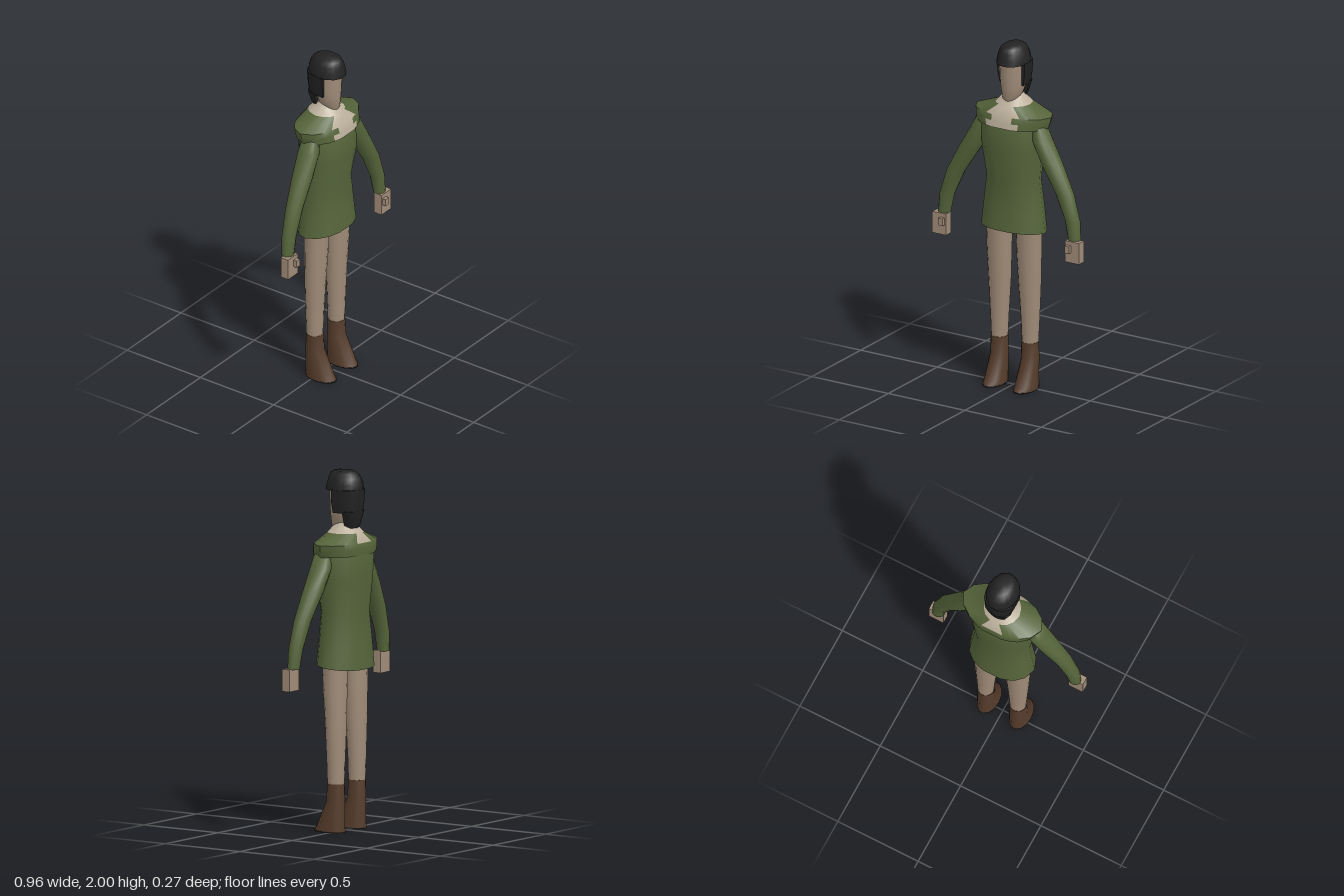
import * as THREE from 'three';
import { toCreasedNormals } from 'three/addons/utils/BufferGeometryUtils.js';

const mat = (name, color, side = THREE.FrontSide) => {
  const m = new THREE.MeshStandardMaterial({ color, side });
  m.name = name;
  return m;
};

// Unit cross-sections, running from +x towards +z
const round = Array.from({ length: 14 }, (_, i) => {
  const a = (i / 14) * Math.PI * 2;
  return [Math.cos(a), Math.sin(a)];
});
const quarter = [[1, 0], [0.87, 0.5], [0.65, 0.8], [0.45, 0.92], [0.27, 1]];
const front = [...quarter, ...quarter.slice().reverse().map(([x, z]) => [-x, z])];
const torso = [...front, ...front.slice(1, -1).reverse().map(([x, z]) => [x, -z])];
const halfShell = [[1, 0.2], [1, 1], [-1, 1], [-1, 0.2], [-0.88, -0.45], [-0.6, -0.82],
  [-0.22, -1], [0.22, -1], [0.6, -0.82], [0.88, -0.45]];

// Skin through rings [y, centreX, radiusX, zBack, zFront, tilt], lowest first
function loft(rings, section, { caps = true, pick = () => 0, crease = 0.8 } = {}) {
  const n = section.length, pos = [], lists = [[], []];
  for (const [y, cx, rx, zb, zf, tilt = 0] of rings)
    for (const [u, v] of section) {
      const z = (zb + zf) / 2 + (v * (zf - zb)) / 2;
      pos.push(cx + u * rx, y + tilt * z, z);
    }
  for (let i = 0; i < rings.length - 1; i++)
    for (let j = 0; j < n; j++) {
      const a = i * n + j, b = i * n + ((j + 1) % n);
      lists[pick(i, j)].push(a, a + n, b, b, a + n, b + n);
    }
  if (caps)
    for (const i of [0, rings.length - 1]) {
      const [y, cx, , zb, zf, tilt = 0] = rings[i], z = (zb + zf) / 2, c = pos.length / 3;
      pos.push(cx, y + tilt * z, z);
      for (let j = 0; j < n; j++) {
        const a = i * n + j, b = i * n + ((j + 1) % n);
        lists[0].push(c, ...(i ? [b, a] : [a, b]));
      }
    }
  const g = new THREE.BufferGeometry();
  g.setAttribute('position', new THREE.Float32BufferAttribute(pos, 3));
  g.setIndex([...lists[0], ...lists[1]]);
  g.addGroup(0, lists[0].length, 0);
  if (lists[1].length) g.addGroup(lists[0].length, lists[1].length, 1);
  return toCreasedNormals(g, crease);
}

export function createModel() {
  const model = new THREE.Group();
  const green = mat('greenCloth', 0x55643a);
  const capeGreen = mat('greenCapeCloth', 0x55643a, THREE.DoubleSide);
  const pale = mat('paleCollar', 0xbcb09c, THREE.DoubleSide);
  const skin = mat('skin', 0xa08c78);
  const hair = mat('blackHair', 0x222222);
  const leather = mat('brownLeather', 0x553c2b);
  const soleDark = mat('darkSole', 0x262220);

  const add = (name, geometry, material, parent = model) => {
    const mesh = new THREE.Mesh(geometry, material);
    mesh.name = name;
    parent.add(mesh);
    return mesh;
  };

  // Tunic, with the hem lower at the back
  add('tunic', loft([
    [0.92, 0, 0.2, -0.135, 0.127, 0.12],
    [1.04, 0, 0.188, -0.125, 0.117],
    [1.22, 0, 0.166, -0.112, 0.105],
    [1.4, 0, 0.188, -0.13, 0.138],
    [1.53, 0, 0.2, -0.131, 0.125],
    [1.6, 0, 0.19, -0.118, 0.105],
  ], torso), [green]);

  // Shoulder cape: pale chest panel, back patch and collar
  const capePick = (i, j) => {
    const f = Math.abs(j - 4), b = Math.abs(j - 13);
    if (i === 3) return 1;
    if (i === 0) return f <= 1 ? 1 : 0;
    if (i === 1) return f === 0 ? 1 : 0;
    return f <= 1 || b === 0 ? 1 : 0;
  };
  add('shoulderCape', loft([
    [1.54, 0, 0.224, -0.134, 0.138],
    [1.575, 0, 0.236, -0.136, 0.132],
    [1.608, 0, 0.243, -0.132, 0.122],
    [1.66, 0, 0.105, -0.1, 0.09],
    [1.715, 0, 0.052, -0.05, 0.04],
  ], torso, { caps: false, pick: capePick }), [capeGreen, pale]);

  // Head and neck
  add('neck', loft([[1.6, 0, 0.05, -0.055, 0.04], [1.78, 0, 0.047, -0.055, 0.04]], round), [skin]);
  add('face', loft([
    [1.67, 0, 0.03, -0.01, 0.068],
    [1.69, 0, 0.048, -0.035, 0.077],
    [1.76, 0, 0.068, -0.07, 0.083],
    [1.83, 0, 0.076, -0.085, 0.086],
    [1.92, 0, 0.078, -0.09, 0.088],
  ], round), [skin]);

  // Hair: crown with fringe, side locks and nape
  add('hairCrown', loft([
    [1.895, 0, 0.091, -0.112, 0.113],
    [1.925, 0, 0.088, -0.111, 0.107],
    [1.96, 0, 0.078, -0.1, 0.098],
    [1.985, 0, 0.064, -0.083, 0.088],
    [2.0, 0, 0.045, -0.06, 0.068],
  ], round), [hair]);
  add('hairSides', loft([
    [1.77, 0, 0.078, -0.1, 0.025],
    [1.83, 0, 0.088, -0.107, 0.03],
    [1.9, 0, 0.091, -0.112, 0.03],
  ], halfShell), [hair]);
  add('hairNape', loft([
    [1.67, 0, 0.034, -0.07, -0.035],
    [1.7, 0, 0.055, -0.085, -0.035],
    [1.78, 0, 0.079, -0.101, -0.035],
  ], halfShell), [hair]);

  for (const [side, s] of [['left', 1], ['right', -1]]) {
    const at = (rings) => rings.map(([y, x, ...rest]) => [y, s * x, ...rest]);

    // Sleeve
    add(side + 'Sleeve', loft(at([
      [0.94, 0.425, 0.036, 0.01, 0.076],
      [1.05, 0.41, 0.043, 0, 0.079],
      [1.2, 0.354, 0.054, -0.012, 0.08],
      [1.35, 0.268, 0.063, -0.032, 0.082],
      [1.48, 0.2, 0.055, -0.045, 0.083],
      [1.57, 0.175, 0.033, -0.03, 0.07],
    ]), round, { crease: 1.2 }), [green]);

    // Blocky hand and thumb
    const hand = new THREE.Group();
    hand.name = side + 'Hand';
    model.add(hand);
    add('palm', new THREE.BoxGeometry(0.09, 0.124, 0.05), skin, hand).position.set(s * 0.434, 0.882, 0.059);
    add('thumb', new THREE.BoxGeometry(0.03, 0.042, 0.03), skin, hand).position.set(s * 0.413, 0.9, 0.09);

    // Leg
    add(side + 'Leg', loft(at([
      [0.25, 0.1, 0.046, -0.059, 0.035],
      [0.4, 0.1, 0.054, -0.062, 0.038],
      [0.6, 0.098, 0.066, -0.066, 0.046],
      [0.8, 0.097, 0.073, -0.069, 0.06],
      [0.97, 0.097, 0.077, -0.071, 0.066],
    ]), round), [skin]);

    // Boot and sole
    add(side + 'Boot', loft(at([
      [0.004, 0.1, 0.059, -0.068, 0.128],
      [0.03, 0.1, 0.058, -0.067, 0.112],
      [0.17, 0.1, 0.051, -0.063, 0.042],
      [0.27, 0.1, 0.049, -0.061, 0.037],
    ]), round), [leather]);
    add(side + 'Sole', loft(at([
      [0, 0.1, 0.059, -0.068, 0.13],
      [0.006, 0.1, 0.0592, -0.068, 0.13],
    ]), round), [soleDark]);
  }
  return model;
}
